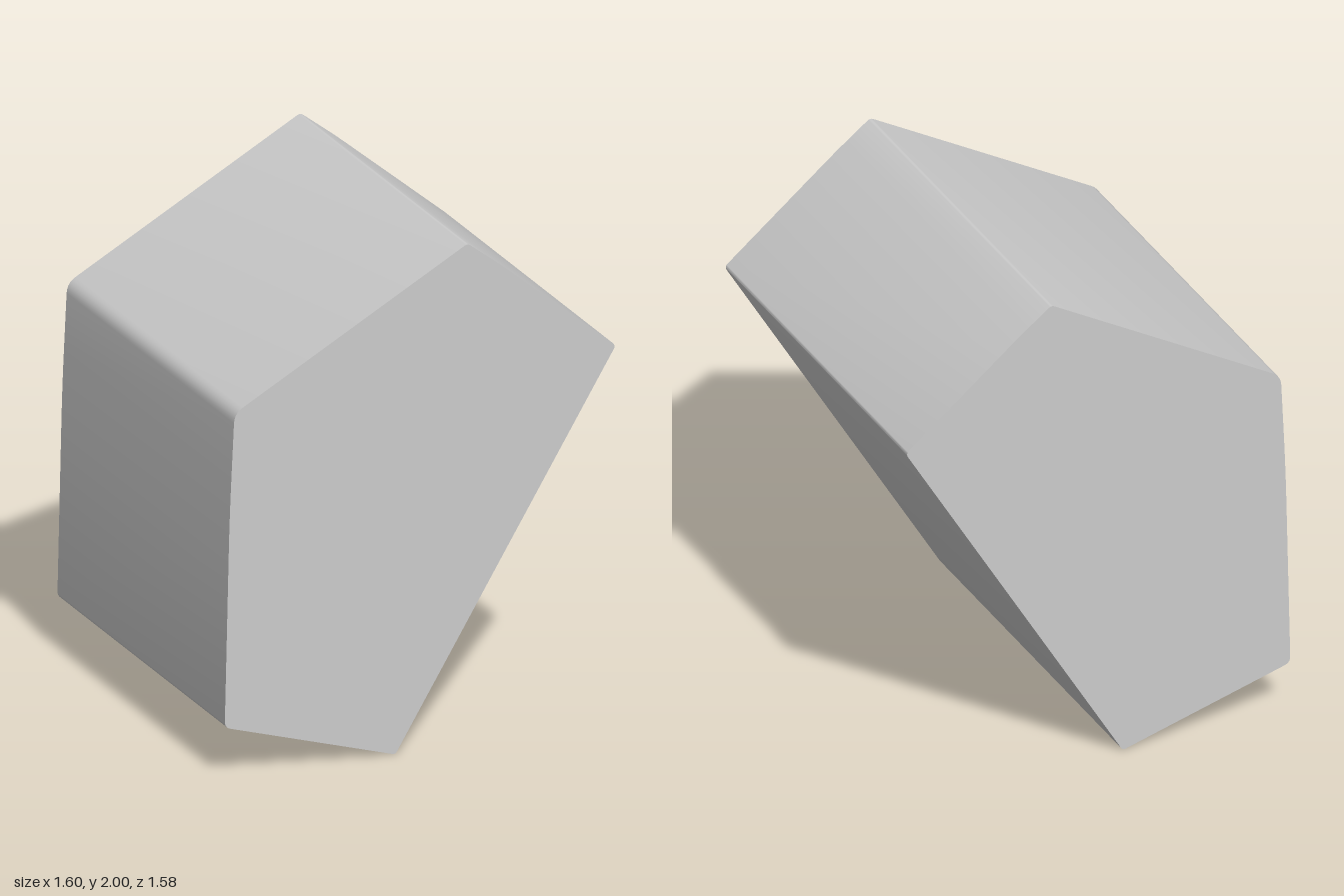
import * as THREE from 'three';
import { toCreasedNormals } from 'three/addons/utils/BufferGeometryUtils.js';

// Closed outline whose corners [x, y, cut] are softened over the length "cut"
function softOutline(corners) {
  const shape = new THREE.Shape();
  const n = corners.length;
  const toward = (a, b, d) => {
    const p = new THREE.Vector2(a[0], a[1]);
    const dir = new THREE.Vector2(b[0], b[1]).sub(p).normalize();
    return p.addScaledVector(dir, d);
  };
  corners.forEach((c, i) => {
    const start = toward(c, corners[(i + n - 1) % n], c[2]);
    const end = toward(c, corners[(i + 1) % n], c[2]);
    if (i === 0) shape.moveTo(start.x, start.y);
    else shape.lineTo(start.x, start.y);
    shape.quadraticCurveTo(c[0], c[1], end.x, end.y);
  });
  shape.closePath();
  return shape;
}

export function createModel() {
  const group = new THREE.Group();
  group.name = 'pentagonalPrism';
  const depth = 1.58;

  // Irregular five-sided section, counter-clockwise from the lowest corner
  const outline = softOutline([
    [-0.103, -0.003, 0.012],
    [0.805, 1.508, 0.018],
    [0.34, 1.893, 0.06],
    [0.195, 2.004, 0.015],
    [-0.765, 1.46, 0.04],
    [-0.785, 1.05, 0.15],
    [-0.805, 0.205, 0.025],
  ]);

  const extruded = new THREE.ExtrudeGeometry(outline, { depth, bevelEnabled: false, curveSegments: 5 });
  extruded.translate(0, 0, -depth / 2);
  const body = new THREE.Mesh(
    toCreasedNormals(extruded, THREE.MathUtils.degToRad(32)),
    new THREE.MeshStandardMaterial({ color: 0xcccccc })
  );
  body.name = 'prismBody';
  group.add(body);
  return group;
}
